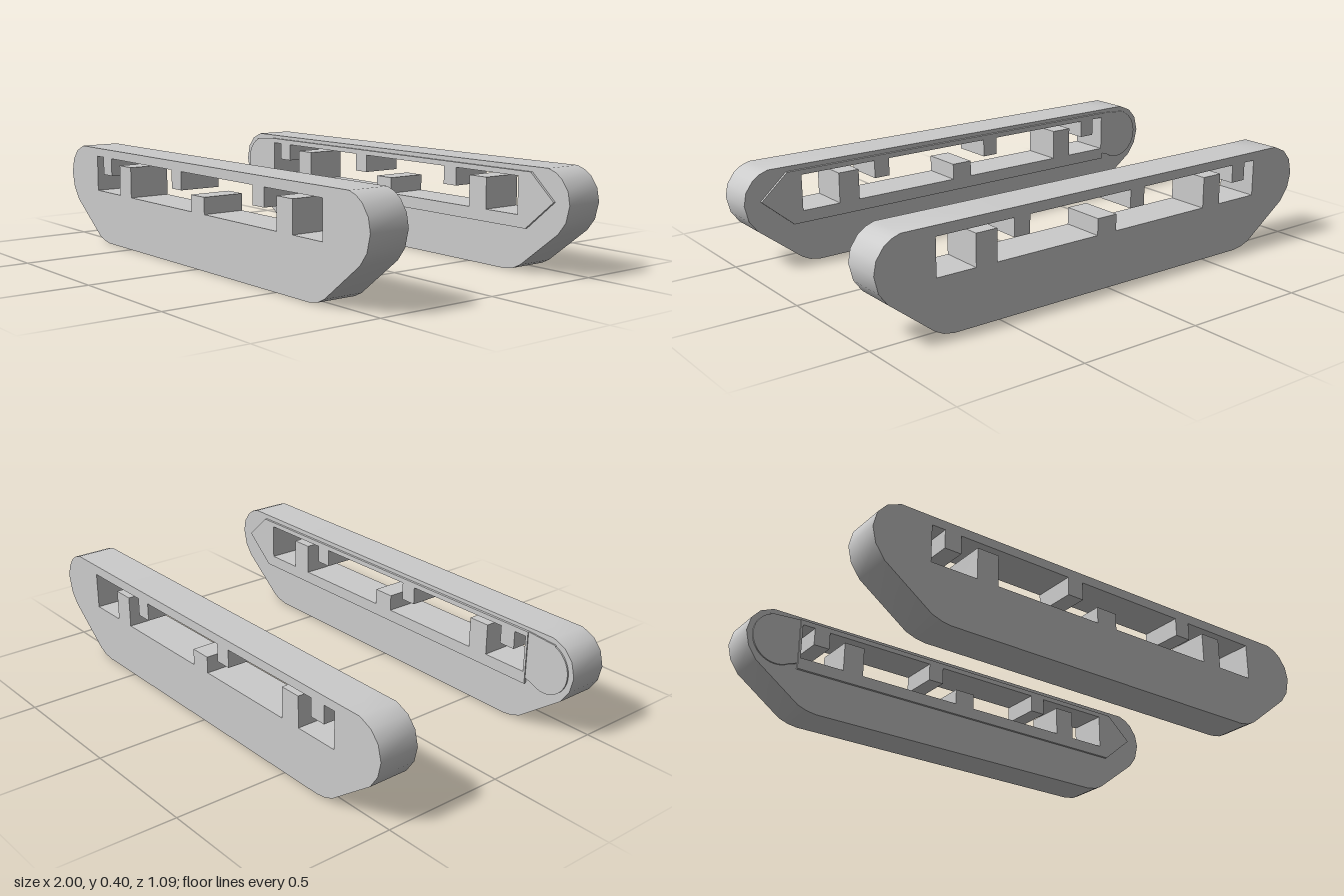
import * as THREE from 'three';
import { toCreasedNormals } from 'three/addons/utils/BufferGeometryUtils.js';

const material = new THREE.MeshStandardMaterial({ color: 0xcccccc });
const points = (list) => list.map(([x, y]) => new THREE.Vector2(x, y));

// Side outline of one track, counter-clockwise from the bottom left
const OUTLINE = points([
  [-0.68, 0], [0.69, 0], [0.735, 0.008], [0.77, 0.025],
  [0.95, 0.165], [0.984, 0.21], [1, 0.275], [0.99, 0.325], [0.96, 0.367], [0.93, 0.388], [0.895, 0.4],
  [0.46, 0.398], [-0.76, 0.394], [-0.895, 0.394], [-0.95, 0.37], [-0.985, 0.33], [-1, 0.27],
  [-0.986, 0.21], [-0.95, 0.158], [-0.76, 0.02], [-0.72, 0.006],
]);

// Window with blocks standing on its sill and teeth hanging from its top
function windowPath() {
  const sill = 0.215, top = 0.36;
  const list = [[-0.77, sill]];
  for (const [x, w, y] of [[-0.535, 0.09, 0.338], [0.008, 0.09, 0.28], [0.553, 0.09, 0.338]]) {
    list.push([x - w / 2, sill], [x - w / 2, y], [x + w / 2, y], [x + w / 2, sill]);
  }
  list.push([0.76, sill], [0.76, top]);
  for (const x of [0.4, -0.14, -0.683]) {
    const w = 0.068, y = 0.288;
    list.push([x + w / 2, top], [x + w / 2, y], [x - w / 2, y], [x - w / 2, top]);
  }
  list.push([-0.77, top]);
  return new THREE.Path(points(list));
}

// Extrude a side profile between two z values
function slab(name, shape, z0, z1) {
  const geometry = new THREE.ExtrudeGeometry(shape, { depth: Math.abs(z1 - z0), bevelEnabled: false, curveSegments: 20 });
  geometry.translate(0, 0, Math.min(z0, z1));
  const mesh = new THREE.Mesh(toCreasedNormals(geometry, 0.6), material);
  mesh.name = name;
  return mesh;
}

function createTrack(side, name) {
  const track = new THREE.Group();
  track.name = name;

  // Thick pierced body
  const body = new THREE.Shape(OUTLINE);
  body.holes.push(windowPath());
  track.add(slab('trackBody', body, side * 0.385, side * 0.545));

  // Raised inner plate with a pointed end
  const plate = new THREE.Shape(points([
    [-0.78, 0.167], [0.80, 0.167], [0.933, 0.28], [0.82, 0.38], [-0.78, 0.38],
  ]));
  plate.holes.push(windowPath());
  track.add(slab('innerPlate', plate, side * 0.375, side * 0.386));

  // Rounded cap closing the other end of the plate
  const cap = new THREE.Shape();
  cap.moveTo(-0.78, 0.38);
  cap.lineTo(-0.91, 0.37);
  cap.absarc(-0.87, 0.268, 0.105, Math.PI * 0.62, Math.PI * 1.68, false);
  cap.lineTo(-0.78, 0.19);
  track.add(slab('endCap', cap, side * 0.379, side * 0.386));
  return track;
}

export function createModel() {
  const model = new THREE.Group();
  model.name = 'trackPair';
  model.add(createTrack(1, 'frontTrack'), createTrack(-1, 'backTrack'));
  return model;
}
